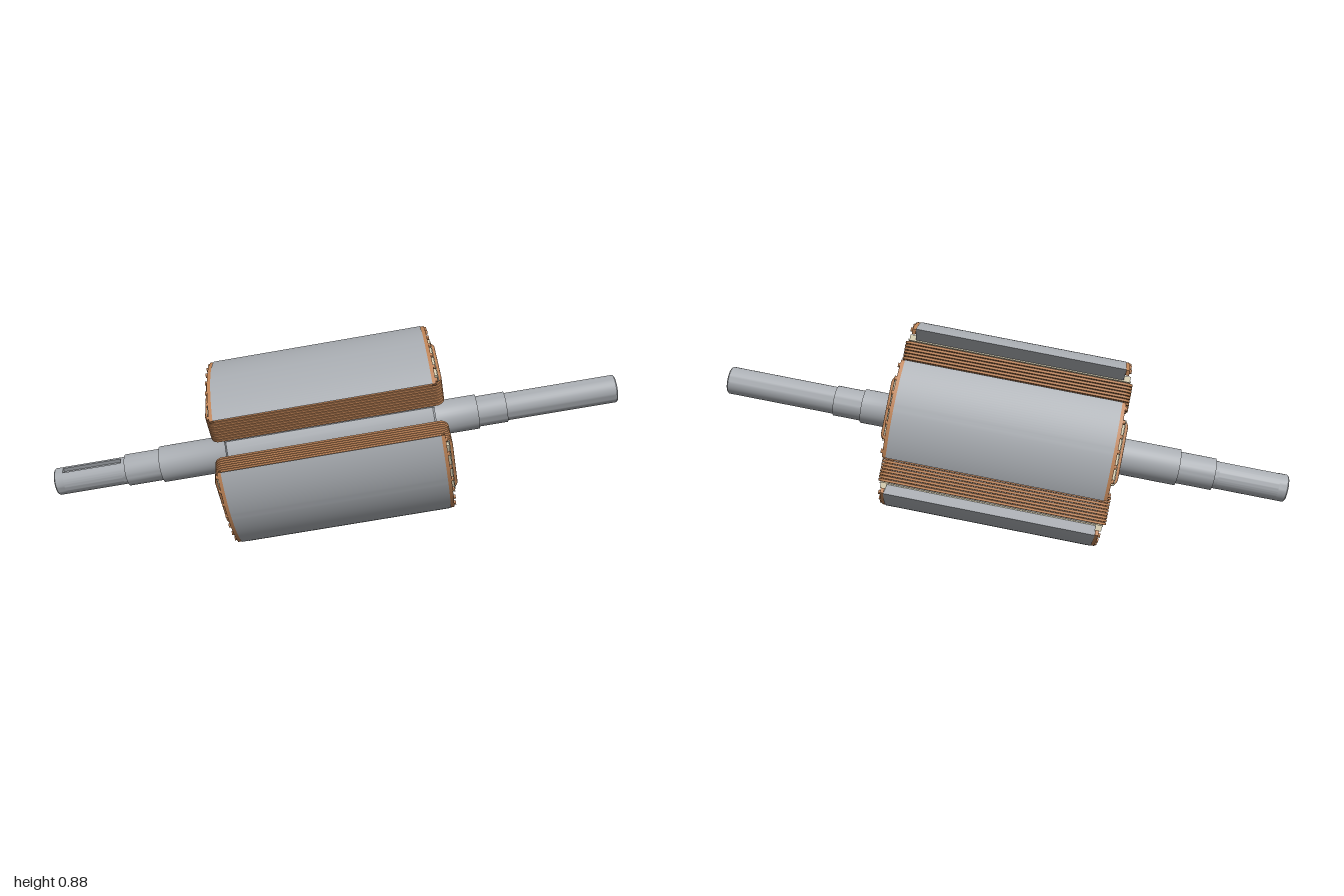
import * as THREE from 'three';
import { toCreasedNormals } from 'three/addons/utils/BufferGeometryUtils.js';

const rad = THREE.MathUtils.degToRad;

export function createModel() {
  const steel = new THREE.MeshStandardMaterial({ name: 'steel', color: 0xa9adb2 });
  const copper = new THREE.MeshStandardMaterial({ name: 'copper', color: 0xc08456 });
  const insulation = new THREE.MeshStandardMaterial({ name: 'insulation', color: 0xd6cdb0 });

  const R = 0.375, HALF = 0.415, SPREAD = rad(30);
  const model = new THREE.Group();
  model.name = 'rotor';
  const rotor = new THREE.Group();
  rotor.name = 'rotorAssembly';
  // local z is the shaft axis, key end at +z
  rotor.rotation.set(rad(10), rad(-60), rad(-20), 'YXZ');
  rotor.position.y = 0.45;
  model.add(rotor);

  const add = (parent, name, geo, mat, x = 0, y = 0, z = 0) => {
    const m = new THREE.Mesh(geo, mat);
    m.name = name;
    m.position.set(x, y, z);
    parent.add(m);
    return m;
  };

  // Stepped shaft and grooved hub, turned in one piece
  const profile = [
    [0, -1.138], [0.05, -1.138], [0.055, -1.133], [0.055, -0.7], [0.061, -0.7], [0.061, -0.586],
    [0.069, -0.586], [0.069, -0.44], [0.085, -0.4], [0.09, -0.375], [0.118, -0.375], [0.125, -0.415],
    [0.155, -0.415], [0.162, -0.408], [0.162, 0.408], [0.155, 0.415], [0.125, 0.415], [0.118, 0.375],
    [0.09, 0.375], [0.085, 0.4], [0.073, 0.44], [0.073, 0.7], [0.064, 0.7], [0.064, 0.844],
    [0.055, 0.844], [0.055, 0.86], [0, 0.86],
  ].map(([r, z]) => new THREE.Vector2(r, z));
  const shaft = new THREE.LatheGeometry(profile, 40).rotateX(Math.PI / 2);
  add(rotor, 'shaftAndHub', toCreasedNormals(shaft, 0.5), steel);

  // Keyed shaft end with a real slot, closed by a round tip
  const slot = 0.013, r = 0.055, a = Math.asin(slot / r);
  const keyed = new THREE.Shape();
  keyed.absarc(0, 0, r, Math.PI / 2 + a, Math.PI * 2.5 - a, false);
  keyed.lineTo(slot, 0.036);
  keyed.lineTo(-slot, 0.036);
  keyed.closePath();
  const keyedGeo = new THREE.ExtrudeGeometry(keyed, { depth: 0.24, bevelEnabled: false, curveSegments: 36 });
  add(rotor, 'keyedShaft', toCreasedNormals(keyedGeo, 0.5), steel, 0, 0, 0.86);
  const tip = new THREE.LatheGeometry(
    [[0, 1.1], [r, 1.1], [r, 1.133], [0.05, 1.138], [0, 1.138]].map(([x, y]) => new THREE.Vector2(x, y)), 40);
  add(rotor, 'shaftTip', toCreasedNormals(tip.rotateX(Math.PI / 2), 0.5), steel);

  // Pole shoe: curved face with slanted undersides
  const shoe = new THREE.Shape();
  shoe.moveTo(-0.131, 0.289);
  shoe.lineTo(0.131, 0.289);
  shoe.absarc(0, 0, R, Math.PI / 2 - SPREAD, Math.PI / 2 + SPREAD, false);
  shoe.closePath();
  const shoeGeo = toCreasedNormals(
    new THREE.ExtrudeGeometry(shoe, { depth: HALF * 2, bevelEnabled: false, curveSegments: 20 }), 0.5);
  shoeGeo.translate(0, 0, -HALF);

  // End ring segment that follows the shoe's edge
  const band = new THREE.Shape();
  band.absarc(0, 0, R - 0.002, Math.PI / 2 - SPREAD, Math.PI / 2 + SPREAD, false);
  band.absarc(0, 0, R - 0.024, Math.PI / 2 + SPREAD, Math.PI / 2 - SPREAD, true);
  band.closePath();
  const bandGeo = toCreasedNormals(
    new THREE.ExtrudeGeometry(band, { depth: 0.014, bevelEnabled: false, curveSegments: 20 }), 0.5);
  bandGeo.translate(0, 0, -0.007);
  const barGeo = new THREE.CylinderGeometry(0.0085, 0.0085, 0.024, 12).rotateX(Math.PI / 2);

  // One flat turn of the winding
  const roundRect = (path, w, h, c) => {
    path.absarc(w - c, h - c, c, 0, Math.PI / 2, false);
    path.absarc(-w + c, h - c, c, Math.PI / 2, Math.PI, false);
    path.absarc(-w + c, -h + c, c, Math.PI, Math.PI * 1.5, false);
    path.absarc(w - c, -h + c, c, Math.PI * 1.5, Math.PI * 2, false);
    path.closePath();
    return path;
  };
  const turn = roundRect(new THREE.Shape(), 0.127, 0.453, 0.03);
  turn.holes.push(roundRect(new THREE.Path(), 0.092, 0.418, 0.006));
  const turnGeo = toCreasedNormals(new THREE.ExtrudeGeometry(turn, {
    depth: 0.005, bevelThickness: 0.003, bevelSize: 0.003, bevelSegments: 2, curveSegments: 5,
  }), 0.4).rotateX(-Math.PI / 2);

  const coreGeo = new THREE.BoxGeometry(0.18, 0.2, HALF * 2);
  const linerGeo = new THREE.BoxGeometry(0.25, 0.005, 0.89);
  const padGeo = new THREE.BoxGeometry(0.24, 0.02, 0.026);

  // Four identical wound poles
  for (let i = 0; i < 4; i++) {
    const pole = new THREE.Group();
    pole.name = 'pole' + (i + 1);
    pole.rotation.z = i * Math.PI / 2;
    rotor.add(pole);
    add(pole, 'poleCore', coreGeo, steel, 0, 0.2, 0);
    add(pole, 'poleShoe', shoeGeo, steel);
    add(pole, 'coilLiner', linerGeo, insulation, 0, 0.2865, 0);
    for (let k = 0; k < 9; k++) add(pole, 'coilTurn', turnGeo, copper, 0, 0.173 + k * 0.0125, 0);
    for (const s of [-1, 1]) {
      add(pole, 'coilPad', padGeo, insulation, 0, 0.298, s * (HALF + 0.013));
      add(pole, 'endRing', bandGeo, copper, 0, 0, s * (HALF + 0.007));
      for (let k = 0; k < 7; k++) {
        const t = rad(-27 + k * 9);
        add(pole, 'damperBar', barGeo, copper,
          Math.sin(t) * (R - 0.013), Math.cos(t) * (R - 0.013), s * (HALF + 0.01));
      }
    }
  }
  return model;
}
